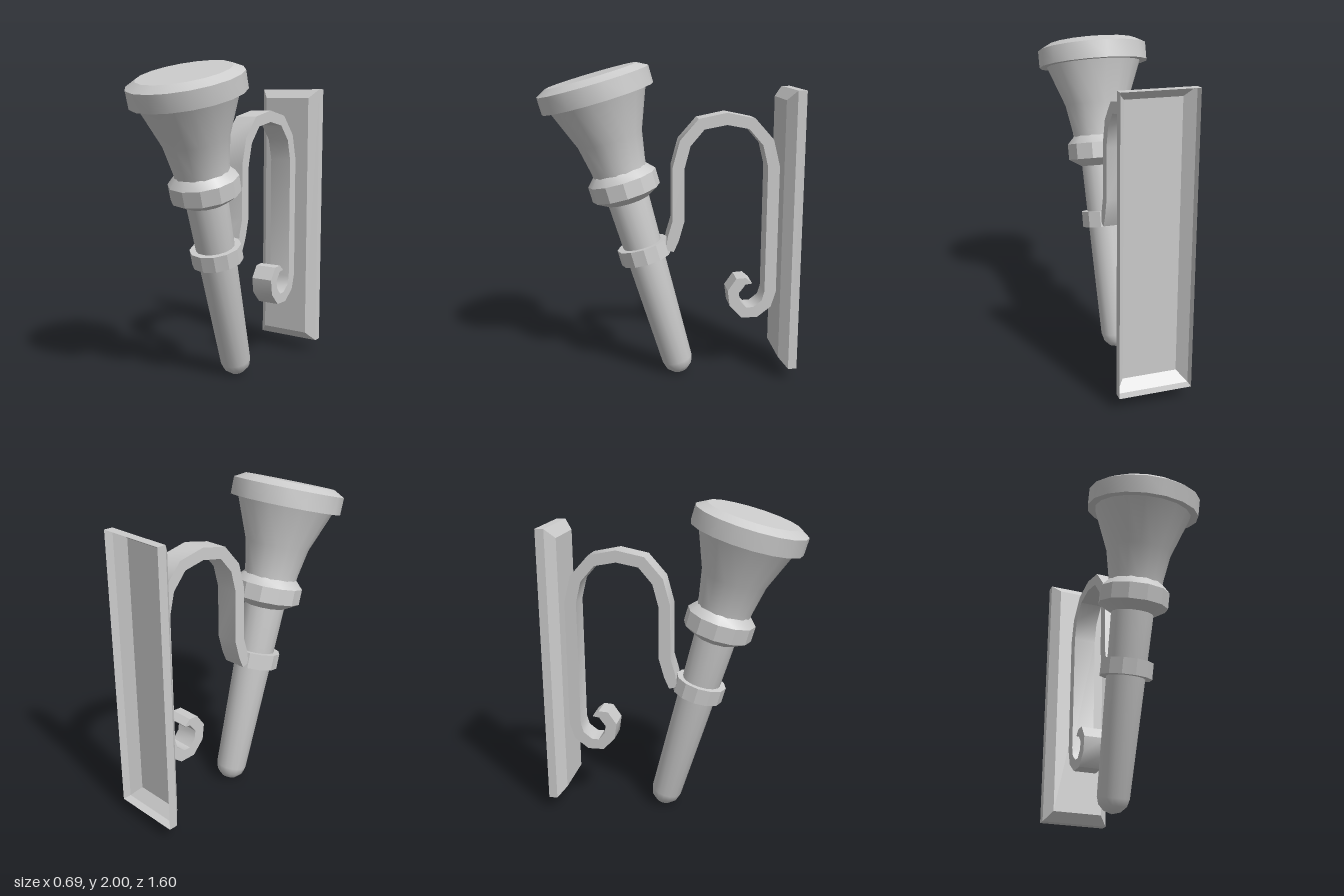
import * as THREE from 'three';
import { toCreasedNormals } from 'three/addons/utils/BufferGeometryUtils.js';

const material = new THREE.MeshStandardMaterial({ color: 0xcccccc, side: THREE.DoubleSide });

function addMesh(parent, name, geometry, crease = 0.45) {
  const mesh = new THREE.Mesh(toCreasedNormals(geometry, crease), material);
  mesh.name = name;
  parent.add(mesh);
  return mesh;
}

// Turned part from [radius, height] pairs, listed bottom to top
function turned(profile, sides) {
  return new THREE.LatheGeometry(profile.map(([r, y]) => new THREE.Vector2(r, y)), sides);
}

// Flat strap following [z, y, halfWidth?] points, extruded across x
function strap(path, width, half) {
  const pts = path.map(([z, y]) => new THREE.Vector2(z, y));
  const left = [], right = [];
  pts.forEach((p, i) => {
    const before = pts[Math.max(i - 1, 0)], after = pts[Math.min(i + 1, pts.length - 1)];
    const dir = after.clone().sub(before).normalize();
    const normal = new THREE.Vector2(-dir.y, dir.x).multiplyScalar(path[i][2] ?? half);
    left.push(p.clone().add(normal));
    right.unshift(p.clone().sub(normal));
  });
  const geometry = new THREE.ExtrudeGeometry(new THREE.Shape([...left, ...right]), { depth: width, bevelEnabled: false });
  // shape x becomes model z
  return geometry.translate(0, 0, -width / 2).rotateY(-Math.PI / 2);
}

// Wall plate: a bevelled tray, open at the back
function plateGeometry() {
  const geometry = new THREE.BoxGeometry(0.44, 1.76, 0.11, 1, 1, 2);
  const pos = geometry.attributes.position;
  for (let i = 0; i < pos.count; i++) {
    if (pos.getZ(i) > 0.01) {
      pos.setX(i, pos.getX(i) - Math.sign(pos.getX(i)) * 0.055);
      pos.setY(i, pos.getY(i) - Math.sign(pos.getY(i)) * 0.06);
    }
  }
  // the last six indices are the back face
  geometry.setIndex(Array.from(geometry.index.array).slice(0, -6));
  return geometry;
}

export function createModel() {
  const model = new THREE.Group();
  model.name = 'wallTorch';

  const plate = addMesh(model, 'wallPlate', plateGeometry(), 0.2);
  plate.position.set(0, 0.96, -0.745);

  // Curved bracket with a curl at the lower end
  addMesh(model, 'bracket', strap([
    [0.0, 0.84, 0.025], [-0.02, 0.915], [-0.053, 1.03], [-0.053, 1.365], [-0.093, 1.516],
    [-0.193, 1.632], [-0.35, 1.663], [-0.505, 1.632], [-0.608, 1.516], [-0.646, 1.365],
    [-0.646, 0.555], [-0.622, 0.474], [-0.55, 0.418], [-0.476, 0.418], [-0.418, 0.481],
    [-0.407, 0.558], [-0.45, 0.618], [-0.485, 0.628, 0.022], [-0.525, 0.614, 0.003],
  ], 0.15, 0.037), 0.65);

  // Tilted torch
  const torch = new THREE.Group();
  torch.name = 'torch';
  torch.position.set(0, 0.08, -0.057);
  torch.rotation.x = THREE.MathUtils.degToRad(16);
  model.add(torch);

  addMesh(torch, 'handle', turned([
    [0, -0.085], [0.05, -0.07], [0.085, -0.035], [0.098, 0.01], [0.132, 1.16],
  ], 16), 0.7);

  addMesh(torch, 'band', turned([
    [0.1, 0.727], [0.162, 0.727], [0.162, 0.826], [0.1, 0.826],
  ], 12));

  addMesh(torch, 'collar', turned([
    [0.12, 1.123], [0.137, 1.123], [0.217, 1.17], [0.217, 1.269], [0.17, 1.318], [0.1, 1.318],
  ], 12));

  addMesh(torch, 'cup', turned([
    [0.168, 1.30], [0.172, 1.345], [0.204, 1.519], [0.305, 1.78],
  ], 18));

  addMesh(torch, 'rim', turned([
    [0, 1.774], [0.35, 1.774], [0.35, 1.881], [0.285, 1.916], [0, 1.916],
  ], 18));

  return model;
}
